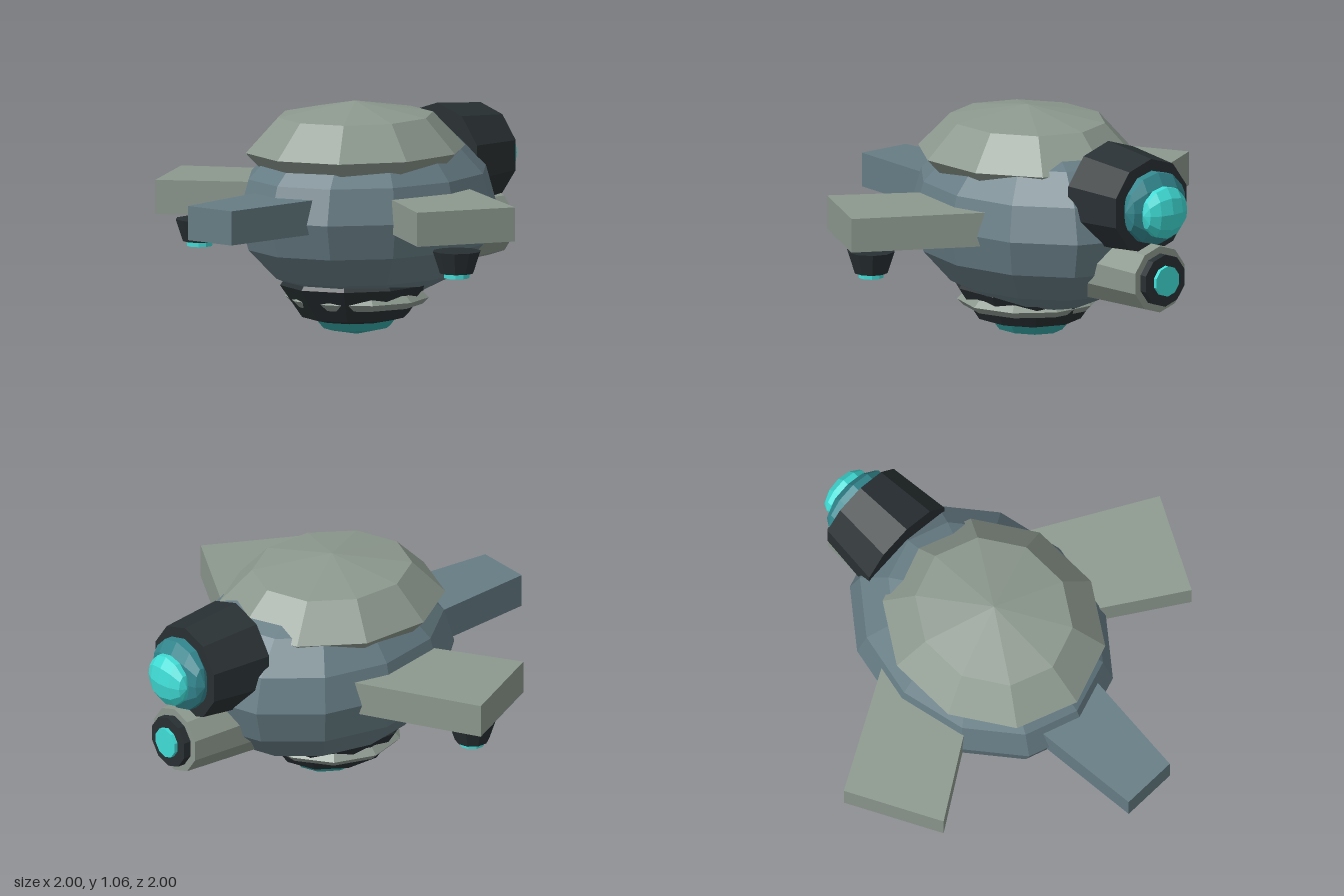
import * as THREE from 'three';

const mat = (color) => new THREE.MeshStandardMaterial({ color, flatShading: true });

export function createModel() {
  const model = new THREE.Group();
  const hull = mat(0x667c84), plate = mat(0x8c988e), dark = mat(0x293033);
  const teal = mat(0x33878f), glow = mat(0x40dcd6), lampTeal = mat(0x35a8a6);

  function add(name, geometry, material, x = 0, y = 0, z = 0, parent = model) {
    const mesh = new THREE.Mesh(geometry, material);
    mesh.name = name;
    mesh.position.set(x, y, z);
    parent.add(mesh);
    return mesh;
  }

  // Faceted ellipsoid with a vertex on the z axis
  function ellipsoid(rx, ry, rz, sides, rows) {
    return new THREE.SphereGeometry(1, sides, rows).rotateY(Math.PI / 2).scale(rx, ry, rz);
  }

  // Ten-sided drum along z; the first radius belongs to the rear end
  function rearDrum(rBack, rFront, length) {
    return new THREE.CylinderGeometry(rBack, rFront, length, 10).rotateX(-Math.PI / 2);
  }

  // Flat slab from a plan outline of [x, z] corners
  function slab(corners, y0, y1) {
    const shape = new THREE.Shape(corners.map(([x, z]) => new THREE.Vector2(x, -z)));
    return new THREE.ExtrudeGeometry(shape, { depth: y1 - y0, bevelEnabled: false })
      .rotateX(-Math.PI / 2).translate(0, y0, 0);
  }

  // Body and top dome
  add('body', ellipsoid(0.53, 0.42, 0.66, 12, 8), hull, 0, 0.57, -0.07);
  add('topDome', ellipsoid(0.475, 0.22, 0.53, 10, 4), plate, 0, 0.845, 0.01);

  // Belly turret with its ring and lamp
  add('bellyTurret', ellipsoid(0.325, 0.21, 0.365, 10, 4), dark, 0, 0.24, 0.01);
  add('bellyRing', new THREE.TorusGeometry(0.295, 0.03, 4, 10).rotateX(Math.PI / 2), plate, 0, 0.175, 0);
  add('bellyLamp', ellipsoid(0.195, 0.11, 0.235, 10, 4), lampTeal, 0, 0.115, 0);

  // Tapered front arm
  add('frontArm', slab([[-0.19, 0.3], [0.19, 0.3], [0.13, 1], [-0.13, 1]], 0.525, 0.68), hull);

  // Side wings, each with a thruster hanging below
  for (const [side, s] of [['left', 1], ['right', -1]]) {
    const outline = [[0.3, -0.33], [1, 0.06], [0.785, 0.48], [0.265, 0.144]];
    add(side + 'Wing', slab(outline.map(([x, z]) => [s * x, z]), 0.525, 0.68), plate);
    const thruster = new THREE.Group();
    thruster.name = side + 'Thruster';
    thruster.position.set(s * 0.77, 0, 0.195);
    model.add(thruster);
    add('thrusterHousing', new THREE.CylinderGeometry(0.11, 0.077, 0.1, 10), dark, 0, 0.425, 0, thruster);
    add('thrusterGlow', new THREE.CylinderGeometry(0.058, 0.058, 0.03, 10), glow, 0, 0.368, 0, thruster);
  }

  // Main rear engine with a two-stage lens
  add('engineHousing', rearDrum(0.22, 0.25, 0.295), dark, 0, 0.745, -0.693);
  add('engineLens', ellipsoid(0.175, 0.175, 0.075, 10, 6).rotateZ(Math.PI / 2), teal, 0, 0.745, -0.865);
  add('engineCore', ellipsoid(0.125, 0.125, 0.065, 10, 6).rotateZ(Math.PI / 2), glow, 0, 0.735, -0.93);

  // Lower exhaust pipe
  add('exhaustPipe', rearDrum(0.153, 0.175, 0.6), plate, 0, 0.42, -0.6);
  add('exhaustCollar', rearDrum(0.12, 0.12, 0.05), dark, 0, 0.42, -0.912);
  add('exhaustGlow', rearDrum(0.07, 0.07, 0.03), glow, 0, 0.42, -0.94);

  return model;
}
